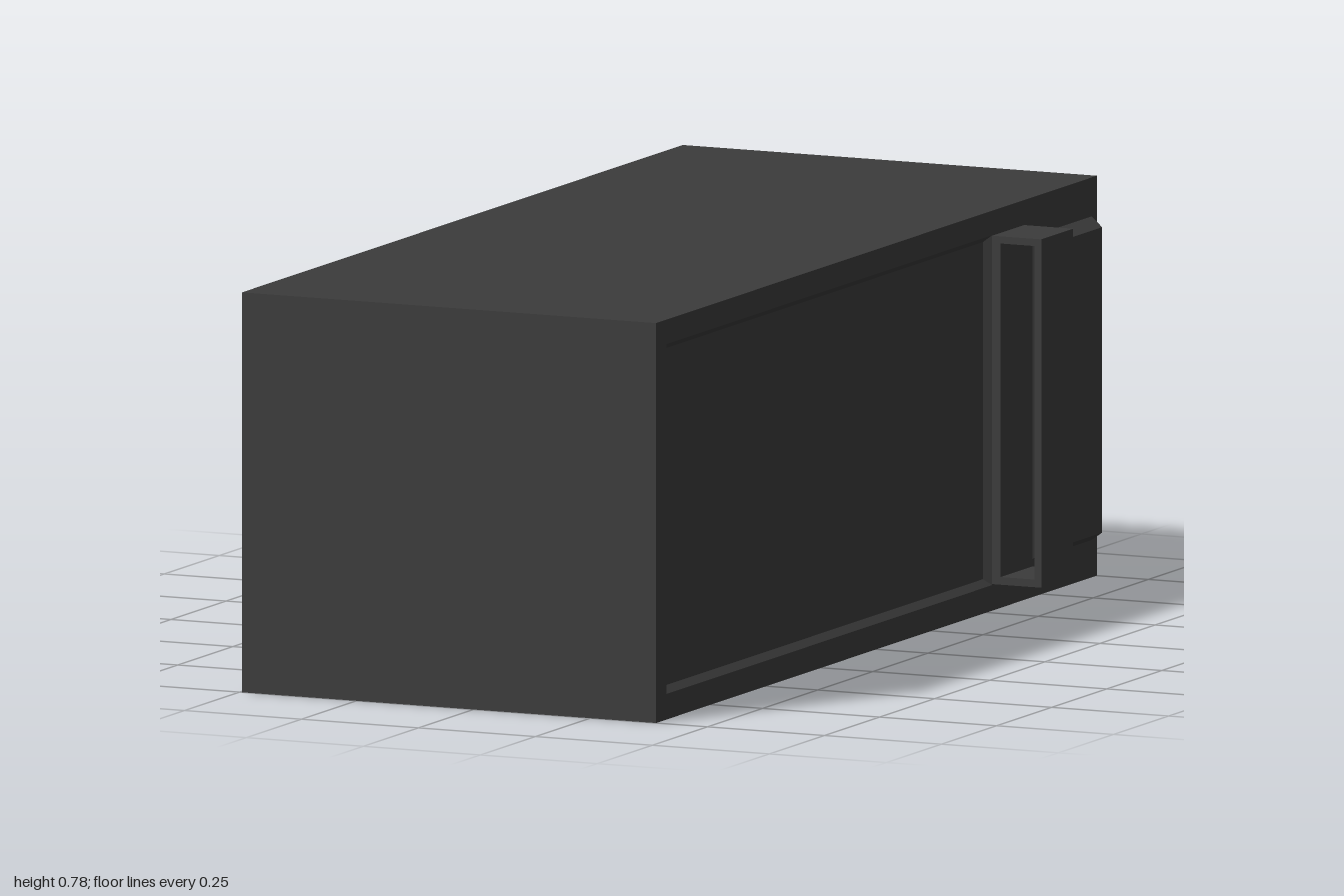
import * as THREE from 'three';

// Rectangular ring in the z-y plane at a given x
const ring = (x, z0, z1, y0, y1) => [[x, y0, z1], [x, y0, z0], [x, y1, z0], [x, y1, z1]];

// Joins successive rings with flat quads and caps both ends
function loft(rings) {
  const pos = [];
  const quad = (a, b, c, d) => pos.push(...a, ...b, ...c, ...a, ...c, ...d);
  for (let r = 0; r < rings.length - 1; r++) {
    const a = rings[r], b = rings[r + 1];
    for (let i = 0; i < 4; i++) {
      const j = (i + 1) % 4;
      quad(a[i], a[j], b[j], b[i]);
    }
  }
  quad(...[...rings[0]].reverse());
  quad(...rings[rings.length - 1]);
  const geo = new THREE.BufferGeometry();
  geo.setAttribute('position', new THREE.Float32BufferAttribute(pos, 3));
  geo.computeVertexNormals();
  return geo;
}

export function createModel() {
  const group = new THREE.Group();
  const charcoal = new THREE.MeshStandardMaterial({ color: 0x3c3c3c });
  charcoal.name = 'charcoal';
  const add = (name, geo) => {
    const mesh = new THREE.Mesh(geo, charcoal);
    mesh.name = name;
    group.add(mesh);
    return mesh;
  };

  // Oven casing with a shallow bevelled door recess on its +x side
  add('casing', loft([
    ring(-0.495, -1, 1, 0, 0.783),
    ring(0.39, -1, 1, 0, 0.783),
    ring(0.39, -0.525, 0.952, 0.05, 0.735),
    ring(0.375, -0.515, 0.94, 0.062, 0.722),
  ]));

  // Raised control panel with bevelled edges
  add('controlPanel', loft([
    ring(0.388, -0.978, -0.69, 0.072, 0.708),
    ring(0.42, -0.96, -0.712, 0.092, 0.69),
  ]));

  // Hollow rectangular door handle
  const frame = new THREE.Shape();
  frame.moveTo(0.385, 0.052).lineTo(0.495, 0.052).lineTo(0.495, 0.734).lineTo(0.385, 0.734).closePath();
  const gap = new THREE.Path();
  gap.moveTo(0.408, 0.067).lineTo(0.408, 0.72).lineTo(0.48, 0.72).lineTo(0.48, 0.067).closePath();
  frame.holes.push(gap);
  const handle = add('handle', new THREE.ExtrudeGeometry(frame, { depth: 0.145, bevelEnabled: false }));
  handle.position.z = -0.67;

  return group;
}
